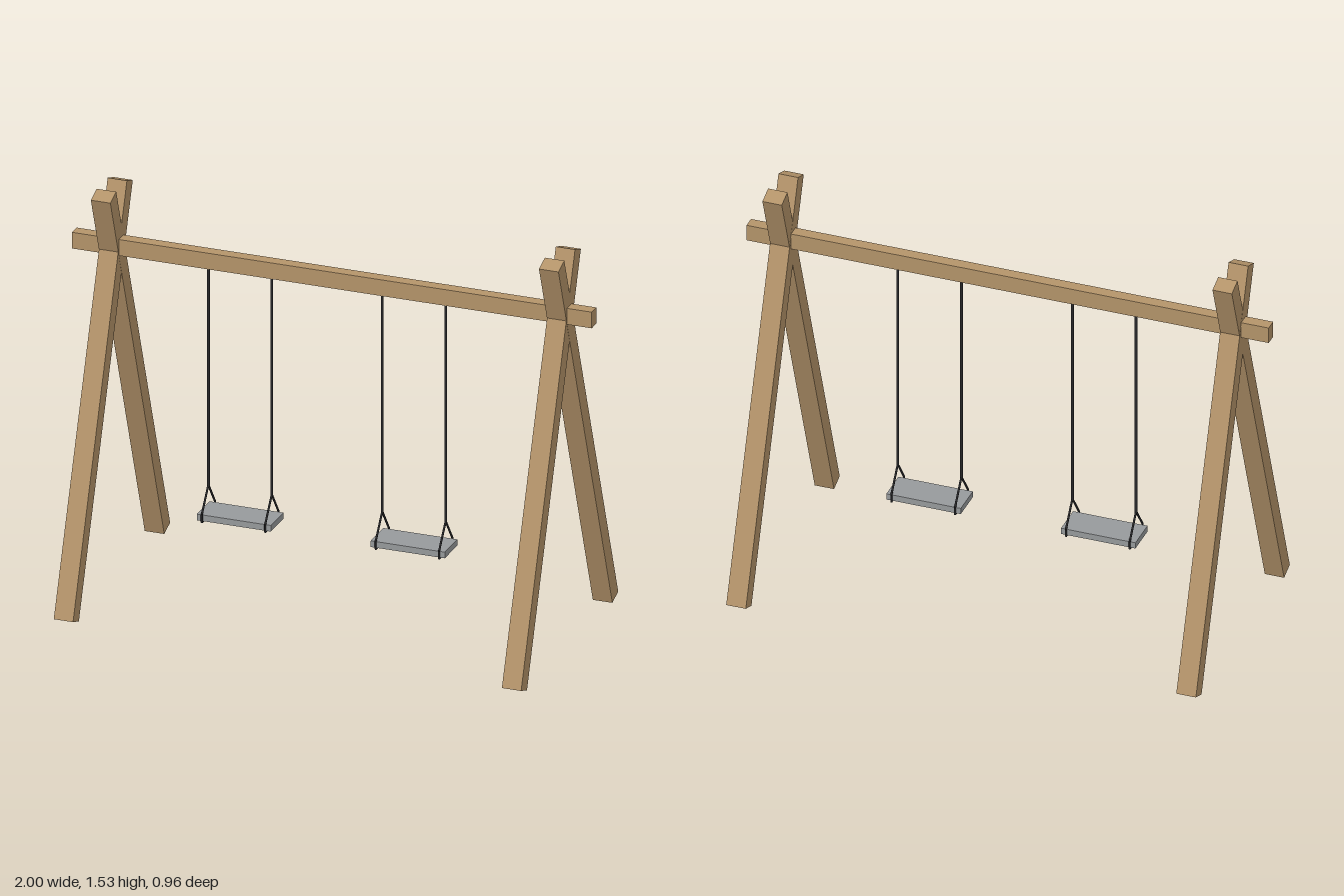
import * as THREE from 'three';

const material = (name, color) => {
  const m = new THREE.MeshStandardMaterial({ color });
  m.name = name;
  return m;
};

export function createModel() {
  const wood = material('wood', 0xb4946a);
  const grey = material('seat grey', 0x979a9c);
  const dark = material('rope black', 0x28282a);
  const model = new THREE.Group();
  model.name = 'swingSet';

  const box = (name, w, h, d, mat, parent) => {
    const mesh = new THREE.Mesh(new THREE.BoxGeometry(w, h, d), mat);
    mesh.name = name;
    parent.add(mesh);
    return mesh;
  };

  // Straight rope between two points [z, y] in the plane x
  const rope = (name, x, a, b, radius, parent) => {
    const p = new THREE.Vector3(x, a[1], a[0]);
    const q = new THREE.Vector3(x, b[1], b[0]);
    const dir = q.clone().sub(p);
    const mesh = new THREE.Mesh(new THREE.CylinderGeometry(radius, radius, dir.length(), 8), dark);
    mesh.name = name;
    mesh.position.copy(p).add(q).multiplyScalar(0.5);
    mesh.quaternion.setFromUnitVectors(new THREE.Vector3(0, 1, 0), dir.normalize());
    parent.add(mesh);
  };

  // Crossed legs at each end
  const footZ = 0.453, footY = 0.0105, topZ = -0.083, topY = 1.52;
  const length = Math.hypot(topY - footY, topZ - footZ);
  const tilt = Math.atan2(topZ - footZ, topY - footY);
  for (const x of [-0.857, 0.867]) {
    for (const side of [1, -1]) {
      const leg = box(side > 0 ? 'frontLeg' : 'backLeg', side > 0 ? 0.074 : 0.075, length, 0.062, wood, model);
      leg.position.set(x, (footY + topY) / 2, side * (footZ + topZ) / 2);
      leg.rotation.x = side * tilt;
    }
  }

  // Beam resting in the crossings
  box('crossBeam', 2, 0.063, 0.046, wood, model).position.set(0, 1.302, 0.005);

  // Two swings, each with a seat and a rope loop around either end
  const loop = [[0.02, 0.425], [0.086, 0.334], [0.086, 0.305], [-0.046, 0.305], [-0.046, 0.334], [0.02, 0.425]];
  for (const centre of [-0.356, 0.313]) {
    const swing = new THREE.Group();
    swing.name = 'swing';
    swing.position.x = centre;
    model.add(swing);
    box('seat', 0.285, 0.024, 0.124, grey, swing).position.set(0, 0.32, 0.02);
    for (const x of [-0.122, 0.122]) {
      rope('hangingRope', x, [0.02, 1.29], [0.02, 0.42], 0.0055, swing);
      for (let i = 0; i < loop.length - 1; i++) rope('seatLoop', x, loop[i], loop[i + 1], 0.004, swing);
    }
  }
  return model;
}
